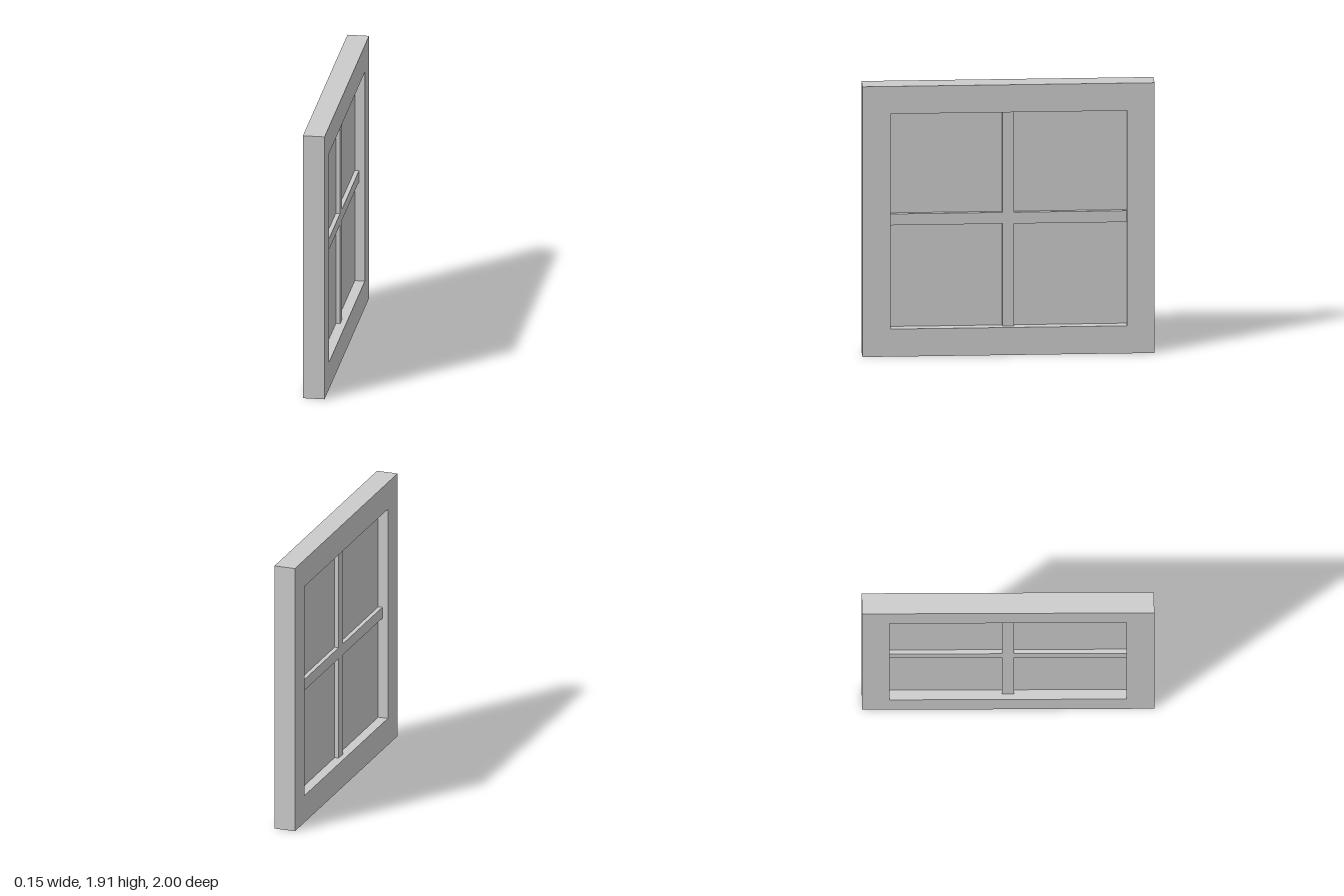
import * as THREE from 'three';

const HEIGHT = 1.915, DEPTH = 0.15;
const OPEN = { z: 0.81, y0: 0.195, y1: 1.72 };
const BAR = { width: 0.08, depth: 0.07, y: 0.96 };

export function createModel() {
  const group = new THREE.Group();
  group.name = 'window';
  const material = new THREE.MeshStandardMaterial({ color: 0xcccccc, flatShading: true });

  const add = (name, geometry, y = 0) => {
    const mesh = new THREE.Mesh(geometry, material);
    mesh.name = name;
    mesh.position.y = y;
    group.add(mesh);
  };
  const rect = (path, w, y0, y1) =>
    path.moveTo(-w, y0).lineTo(w, y0).lineTo(w, y1).lineTo(-w, y1).closePath();

  // Outer frame: a slab with a square opening, turned to face sideways
  const outline = rect(new THREE.Shape(), 1, 0, HEIGHT);
  outline.holes.push(rect(new THREE.Path(), OPEN.z, OPEN.y0, OPEN.y1));
  const frame = new THREE.ExtrudeGeometry(outline, { depth: DEPTH, bevelEnabled: false });
  frame.translate(0, 0, -DEPTH / 2).rotateY(Math.PI / 2);
  add('frame', frame);

  const openHeight = OPEN.y1 - OPEN.y0, openMid = (OPEN.y0 + OPEN.y1) / 2;

  // Thin pane in the middle of the frame's depth
  add('pane', new THREE.BoxGeometry(0.01, openHeight, OPEN.z * 2), openMid);

  // Glazing bars: one full-width rail, and an upright on each side of it
  add('horizontalBar', new THREE.BoxGeometry(BAR.depth, BAR.width, OPEN.z * 2), BAR.y);
  const half = BAR.width / 2;
  for (const [name, y0, y1] of [
    ['lowerBar', OPEN.y0, BAR.y - half],
    ['upperBar', BAR.y + half, OPEN.y1],
  ]) add(name, new THREE.BoxGeometry(BAR.depth, y1 - y0, BAR.width), (y0 + y1) / 2);

  return group;
}
